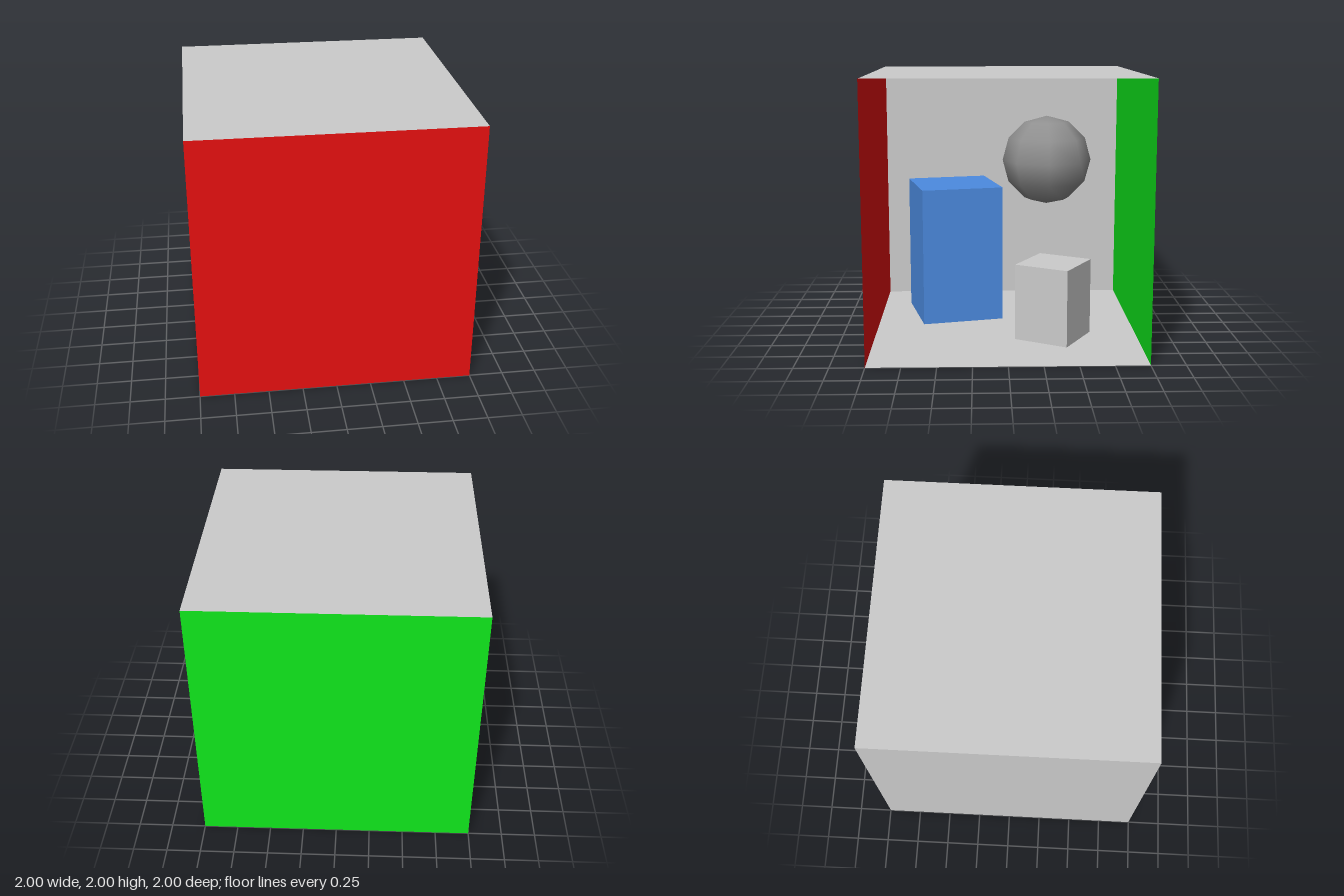
import * as THREE from 'three';

const material = (color = 0xcccccc, side = THREE.FrontSide) =>
  new THREE.MeshStandardMaterial({ color, side });

// Adds a named mesh at a position
function add(group, name, geometry, mat, x, y, z) {
  const mesh = new THREE.Mesh(geometry, mat);
  mesh.name = name;
  mesh.position.set(x, y, z);
  group.add(mesh);
  return mesh;
}

export function createModel() {
  const group = new THREE.Group();
  group.name = 'openRoom';

  // Thin room shell, open on the +x side
  const panel = new THREE.PlaneGeometry(2, 2);
  const walls = [
    ['floor', 0xcccccc, [0, 0, 0], [-Math.PI / 2, 0]],
    ['ceiling', 0xcccccc, [0, 2, 0], [Math.PI / 2, 0]],
    ['backWall', 0xcccccc, [-1, 1, 0], [0, Math.PI / 2]],
    ['redWall', 0xe81010, [0, 1, 1], [0, Math.PI]],
    ['greenWall', 0x10e81c, [0, 1, -1], [0, 0]],
  ];
  for (const [name, color, pos, [rx, ry]] of walls) {
    add(group, name, panel, material(color, THREE.DoubleSide), ...pos).rotation.set(rx, ry, 0);
  }

  // Tall and short blocks, each turned on the floor
  const tall = add(group, 'tallBlock', new THREE.BoxGeometry(0.642, 1.075, 0.642),
    material(0x4c8be0), -0.355, 0.548, 0.4);
  tall.rotation.y = Math.atan2(0.145, 0.625);

  const short = add(group, 'shortBlock', new THREE.BoxGeometry(0.43, 0.58, 0.43),
    material(), 0.313, 0.293, -0.36);
  short.rotation.y = -Math.atan2(0.21, 0.375);

  // Coarse, smooth-shaded ball floating above the short block
  add(group, 'ball', new THREE.SphereGeometry(0.345, 8, 6),
    material(0x909090), -0.085, 1.31, -0.33);

  return group;
}
